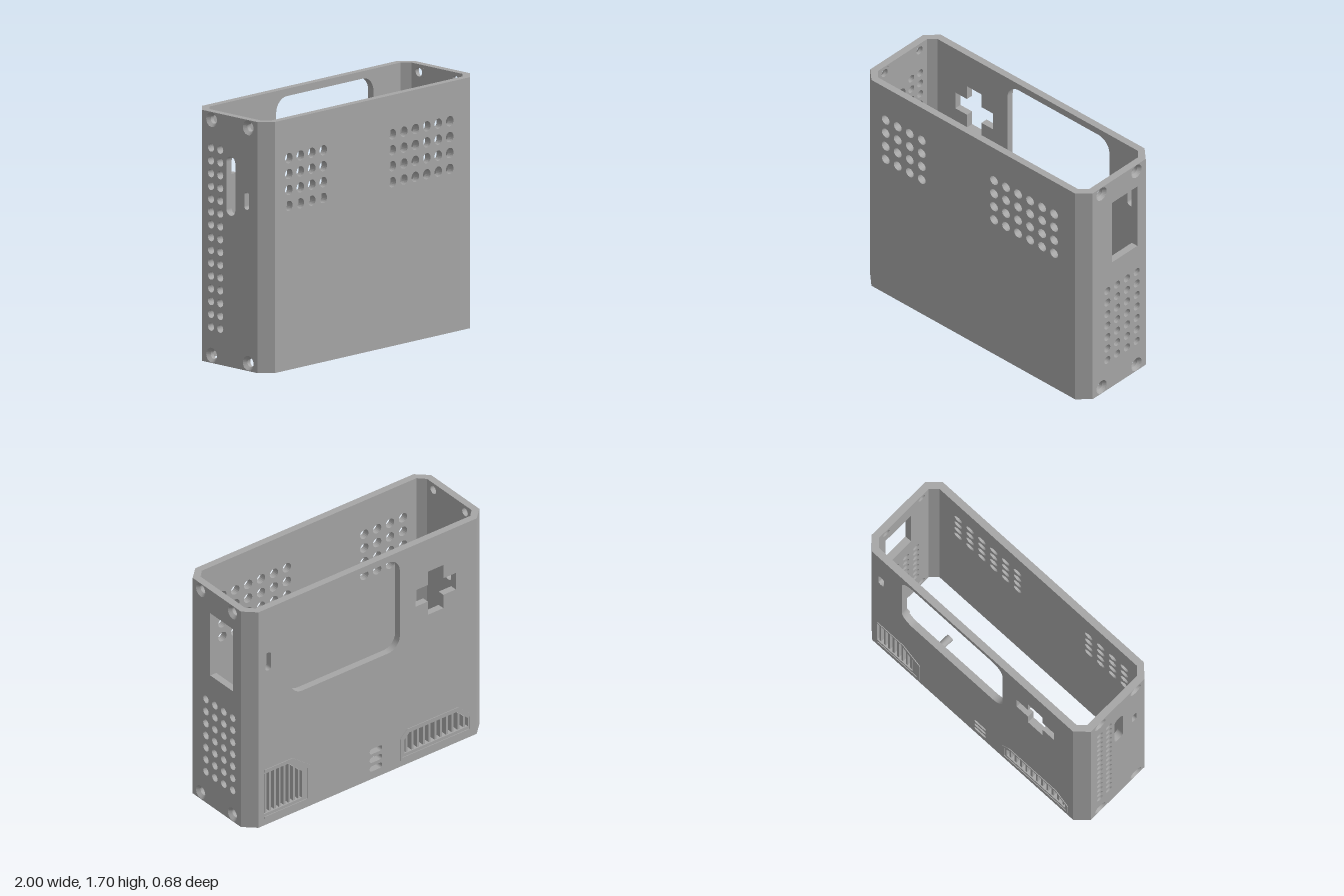
import * as THREE from 'three';

const H = 1.7, T = 0.05, FRONT = 0.34, BACK = -0.335;

// Closed outline from a short list of [x, y] points
const poly = (pts, Type = THREE.Path) => new Type(pts.map(([x, y]) => new THREE.Vector2(x, y)));

const rect = (x0, y0, x1, y1, Type) => poly([[x0, y0], [x1, y0], [x1, y1], [x0, y1]], Type);

const circle = (x, y, r) => {
  const p = new THREE.Path();
  p.absarc(x, y, r, 0, Math.PI * 2, false);
  return p;
};

// Rectangle with rounded corners; also used for slots
function rounded(x0, y0, x1, y1, r) {
  const p = new THREE.Path();
  p.absarc(x1 - r, y0 + r, r, -Math.PI / 2, 0, false);
  p.absarc(x1 - r, y1 - r, r, 0, Math.PI / 2, false);
  p.absarc(x0 + r, y1 - r, r, Math.PI / 2, Math.PI, false);
  p.absarc(x0 + r, y0 + r, r, Math.PI, Math.PI * 1.5, false);
  p.closePath();
  return p;
}

const slot = (cx, cy, w, h) =>
  rounded(cx - w / 2, cy - h / 2, cx + w / 2, cy + h / 2, Math.min(w, h) / 2 - 0.001);

// Grid of round holes
function grid(x0, dx, nx, y0, dy, ny, r) {
  const out = [];
  for (let i = 0; i < nx; i++)
    for (let j = 0; j < ny; j++) out.push(circle(x0 + i * dx, y0 + j * dy, r));
  return out;
}

function extrude(shape, holes, depth) {
  shape.holes.push(...holes);
  return new THREE.ExtrudeGeometry(shape, { depth, bevelEnabled: false, curveSegments: 10 });
}

export function createModel() {
  const group = new THREE.Group();
  const grey = new THREE.MeshStandardMaterial({ color: 0xa6a6a6 });
  grey.name = 'casing grey';

  const add = (name, geo, x = 0, y = 0, z = 0, parent = group) => {
    const m = new THREE.Mesh(geo, grey);
    m.name = name;
    m.position.set(x, y, z);
    parent.add(m);
    return m;
  };

  // Front panel with two blocks of ventilation holes
  add('frontPanel', extrude(rect(-0.915, 0, 0.915, H, THREE.Shape), [
    ...grid(-0.787, 0.108, 4, 1.11, 0.108, 4, 0.035),
    ...grid(0.187, 0.108, 6, 1.11, 0.108, 4, 0.035),
  ], T), 0, 0, FRONT - T);

  // Back panel: screen window, cross opening, slots and two vents
  const cross = [];
  const a = 0.065, b = 0.17;
  for (const [x, y] of [[a, -b], [a, -a], [b, -a], [b, a], [a, a], [a, b],
    [-a, b], [-a, a], [-b, a], [-b, -a], [-a, -a], [-a, -b]]) cross.push([x - 0.57, y + 1.275]);
  const ventA = [[0.87, 0.09], [0.87, 0.405], [0.66, 0.405], [0.55, 0.3], [0.55, 0.09]];
  const ventB = [[-0.31, 0.09], [-0.31, 0.2], [-0.35, 0.24], [-0.75, 0.24], [-0.84, 0.155], [-0.84, 0.09]];
  add('backPanel', extrude(rect(-0.915, 0, 0.915, H, THREE.Shape), [
    rounded(-0.27, 0.935, 0.645, 1.65, 0.1),
    poly(cross),
    slot(0.833, 1.28, 0.05, 0.14),
    ...[0.08, 0.148, 0.216].map((y) => slot(-0.07, y, 0.105, 0.042)),
    poly(ventA),
    poly(ventB),
  ], T), 0, 0, BACK);

  // Upright slats inside each vent, cut to the slanted top
  const slats = (name, x0, x1, n, top) => {
    const g = new THREE.Group();
    g.name = name;
    for (let i = 0; i < n; i++) {
      const x = x0 + (x1 - x0) * (i + 0.5) / n;
      const h = top(x) - 0.085;
      add('slat', new THREE.BoxGeometry(0.016, h, T - 0.01), x, 0.085 + h / 2, BACK + T / 2 + 0.004, g);
    }
    group.add(g);
  };
  slats('largeVentSlats', 0.55, 0.87, 8, (x) => Math.min(0.405, 0.3 + (x - 0.55) * 0.955));
  slats('longVentSlats', -0.84, -0.31, 11, (x) => Math.min(0.24, 0.155 + (x + 0.84) * 0.944));

  // Thin raised rims around the vents
  add('largeVentRim', extrude(poly([[0.865, 0.05], [0.48, 0.05], [0.48, 0.32], [0.63, 0.437], [0.865, 0.437],
    [0.865, 0.42], [0.64, 0.42], [0.505, 0.31], [0.505, 0.068], [0.865, 0.068]], THREE.Shape), [], 0.006),
  0, 0, BACK - 0.005);
  add('longVentRim', extrude(
    poly([[-0.27, 0.05], [-0.27, 0.22], [-0.33, 0.275], [-0.76, 0.275], [-0.87, 0.17], [-0.87, 0.05]], THREE.Shape),
    [poly([[-0.288, 0.067], [-0.288, 0.212], [-0.337, 0.258], [-0.753, 0.258], [-0.853, 0.163], [-0.853, 0.067]])],
    0.006), 0, 0, BACK - 0.005);

  // Side panels, drawn in z and y, then turned outward
  const screws = [[0.174, 0.053], [-0.165, 0.053], [0.174, 1.647], [-0.165, 1.647]];
  const sidePanel = (name, x, holes) => {
    const all = [...holes, ...screws.map(([z, y]) => circle(z, y, 0.05))];
    const geo = extrude(rect(-0.255, 0, 0.26, H, THREE.Shape), all, T);
    geo.rotateY(-Math.PI / 2);
    add(name, geo, x);
  };
  sidePanel('leftSidePanel', 1, [
    rect(-0.173, 1.027, 0.072, 1.518),
    ...grid(-0.167, 0.095, 4, 0.245, 0.095, 7, 0.029),
  ]);
  sidePanel('rightSidePanel', -1 + T, [
    ...grid(-0.17, 0.085, 2, 0.245, 0.0866, 15, 0.028),
    slot(0.013, 1.225, 0.082, 0.4),
    slot(0.16, 1.15, 0.045, 0.12),
  ]);

  // Countersunk screw seats in the sides
  const seat = new THREE.LatheGeometry(
    [[0.05, 0], [0.03, 0], [0.03, 0.027], [0.05, T]].map(([r, y]) => new THREE.Vector2(r, y)), 24).toNonIndexed();
  seat.computeVertexNormals();
  for (const s of [-1, 1])
    for (const [z, y] of screws) {
      const m = add('screwSeat', seat, s * (1 - T), y, z);
      m.rotation.z = -s * Math.PI / 2;
      m.material = grey;
    }
  grey.side = THREE.DoubleSide;

  // Chamfered corner posts joining the panels
  for (const sx of [-1, 1])
    for (const [sz, f] of [[1, FRONT], [-1, -BACK]]) {
      const pts = [[0.915, f], [1, f - 0.08], [0.95, f - 0.08], [0.95, f - 0.1], [0.9, f - T], [0.915, f - T]];
      const geo = extrude(poly(pts.map(([x, z]) => [sx * x, -sz * z]), THREE.Shape), [], H);
      geo.rotateX(-Math.PI / 2);
      add('cornerChamfer', geo);
    }

  // Small mounting pegs on the inside of the back
  for (const [x, z1] of [[-0.75, -0.18], [0.745, -0.18], [-0.705, -0.1], [0.43, -0.1]]) {
    const z0 = BACK + T;
    const y = z1 < -0.15 ? 0.6 : 0.5;
    const peg = add('mountingPeg', new THREE.CylinderGeometry(0.026, 0.026, z1 - z0, 16), x, y, (z0 + z1) / 2);
    peg.rotation.x = Math.PI / 2;
  }

  return group;
}
